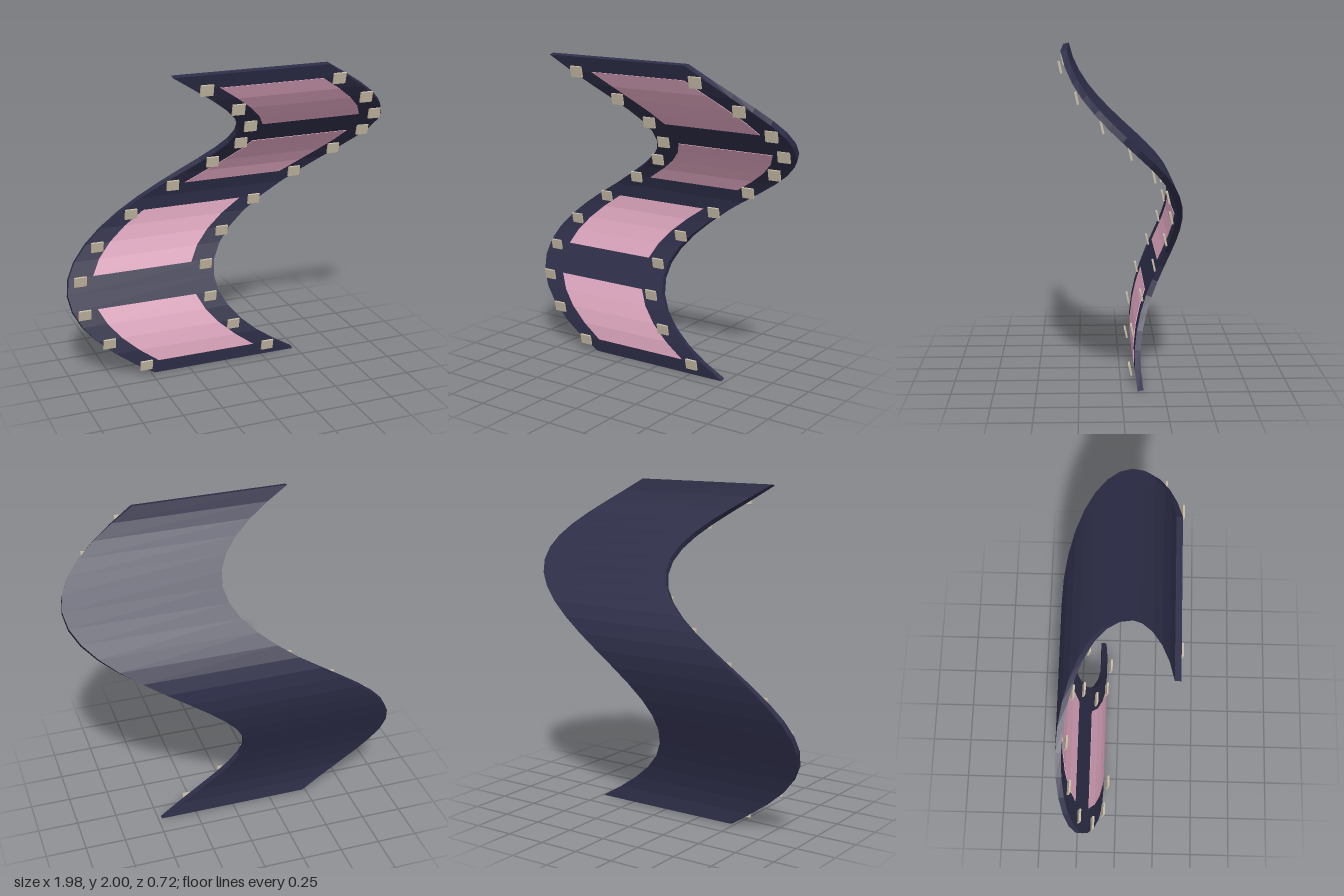
import * as THREE from 'three';

const LENGTH = 2.042, SWAY = 0.51, DEPTH = 0.225, THICK = 0.036, TILT = 0.2165;
const TAU = Math.PI * 2;

// Centre line of the strip: one turn of a flattened helix, t from 0 (bottom) to 1 (top)
const centre = (t) => new THREE.Vector3(
  -SWAY * Math.sin(TAU * t), LENGTH * t, -DEPTH * (1 - Math.cos(TAU * t)));

// Surface direction facing forward, square to the curve in the side plane
function facing(t) {
  const dz = -DEPTH * TAU * Math.sin(TAU * t);
  return new THREE.Vector3(0, -dz, LENGTH).normalize();
}

// Faceted solid band following the centre line from t0 to t1
function bandGeometry(t0, t1, segments, halfWidth, back, front) {
  const rings = [];
  for (let i = 0; i <= segments; i++) {
    const t = t0 + (t1 - t0) * i / segments;
    const corner = (x, d) => centre(t).addScaledVector(facing(t), d).add(new THREE.Vector3(x, 0, 0));
    rings.push([
      corner(-halfWidth, back), corner(halfWidth, back),
      corner(halfWidth, front), corner(-halfWidth, front)]);
  }
  const points = [];
  const quad = (a, b, c, d) => points.push(a, b, c, a, c, d);
  for (let i = 0; i < segments; i++) {
    const a = rings[i], b = rings[i + 1];
    for (let k = 0; k < 4; k++) {
      const j = (k + 1) % 4;
      quad(a[j], a[k], b[k], b[j]);
    }
  }
  const first = rings[0], last = rings[segments];
  quad(first[0], first[1], first[2], first[3]);
  quad(last[3], last[2], last[1], last[0]);
  const geometry = new THREE.BufferGeometry().setFromPoints(points);
  geometry.computeVertexNormals();
  return geometry;
}

export function createModel() {
  const navy = new THREE.MeshStandardMaterial({ color: 0x2d2d48 });
  navy.name = 'film navy';
  const pink = new THREE.MeshStandardMaterial({ color: 0xe0a8c0 });
  pink.name = 'frame pink';
  const cream = new THREE.MeshStandardMaterial({ color: 0xc6bba6 });
  cream.name = 'perforation cream';

  const model = new THREE.Group();
  model.name = 'filmStrip';
  const strip = new THREE.Group();
  strip.name = 'tiltedStrip';
  strip.rotation.x = TILT;
  strip.position.set(0, 0.004, -0.113);
  model.add(strip);

  const add = (name, geometry, material) => {
    const mesh = new THREE.Mesh(geometry, material);
    mesh.name = name;
    strip.add(mesh);
    return mesh;
  };

  // Curved film base
  add('filmBase', bandGeometry(0, 1, 24, 0.478, -THICK / 2, THICK / 2), navy);

  // Four picture frames on the front
  for (let i = 0; i < 4; i++) {
    const t = i / 4 + 1 / 24;
    add('pictureFrame', bandGeometry(t, t + 1 / 6, 4, 0.322, THICK / 2 - 0.002, THICK / 2 + 0.003), pink);
  }

  // Perforation plates standing just off both edges
  const plate = new THREE.BoxGeometry(0.078, 0.066, 0.012);
  for (let i = 0; i < 12; i++) {
    for (const side of [-1, 1]) {
      const p = centre((i + 0.5) / 12);
      add('perforation', plate, cream).position.set(p.x + side * 0.411, p.y, p.z + 0.045);
    }
  }
  return model;
}
